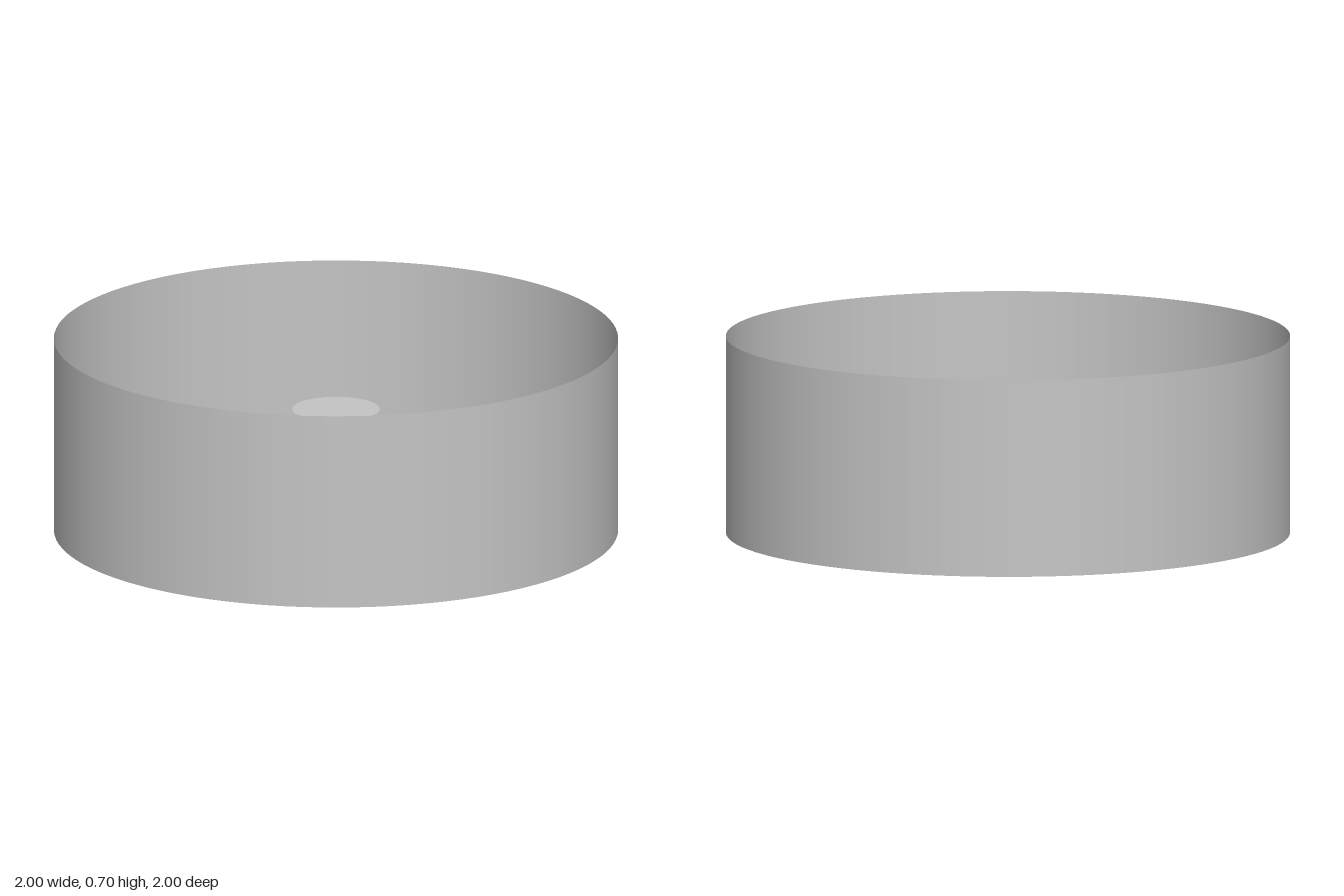
import * as THREE from 'three';

const RADIUS = 1, HEIGHT = 0.705, HUB_RADIUS = 0.155, HUB_HEIGHT = 0.445;
const BOLT_RADIUS = 0.022, BOLT_CIRCLE = 0.314;

export function createModel() {
  const group = new THREE.Group();
  const metal = new THREE.MeshStandardMaterial({ color: 0xc4c4c4, side: THREE.DoubleSide });
  metal.name = 'light grey metal';

  const add = (name, geometry, y) => {
    const mesh = new THREE.Mesh(geometry, metal);
    mesh.name = name;
    mesh.position.y = y;
    group.add(mesh);
  };

  // Thin open side wall
  add('sideWall', new THREE.CylinderGeometry(RADIUS, RADIUS, HEIGHT, 96, 1, true), HEIGHT / 2);

  // Floor sheet with a centre opening and four bolt holes
  const floor = new THREE.Shape().absarc(0, 0, RADIUS, 0, Math.PI * 2);
  const punch = (x, y, r) => floor.holes.push(new THREE.Path().absarc(x, y, r, 0, Math.PI * 2, true));
  punch(0, 0, HUB_RADIUS);
  for (let i = 0; i < 4; i++) {
    const a = i * Math.PI / 2;
    punch(BOLT_CIRCLE * Math.cos(a), BOLT_CIRCLE * Math.sin(a), BOLT_RADIUS);
  }
  add('floor', new THREE.ShapeGeometry(floor, 48).rotateX(-Math.PI / 2), 0);

  // Raised disc above the centre opening
  add('hubDisc', new THREE.CircleGeometry(HUB_RADIUS, 64).rotateX(-Math.PI / 2), HUB_HEIGHT);

  return group;
}
